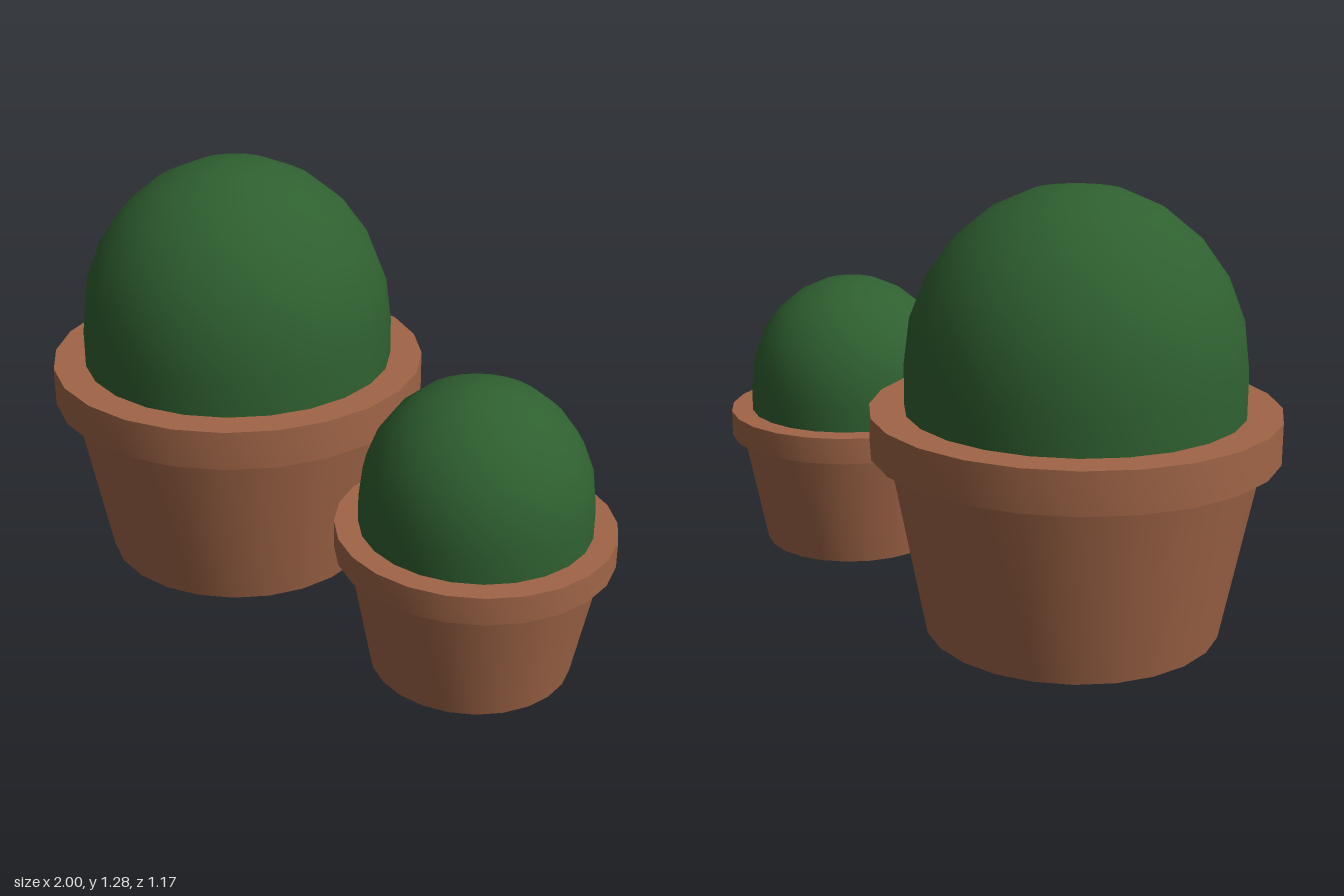
import * as THREE from 'three';
import { toCreasedNormals } from 'three/addons/utils/BufferGeometryUtils.js';

const SIDES = 24;
const clay = new THREE.MeshStandardMaterial({ color: 0xa06547, side: THREE.DoubleSide });
const green = new THREE.MeshStandardMaterial({ color: 0x2f6030 });

const lathe = (points) =>
  new THREE.LatheGeometry(points.map(([r, y]) => new THREE.Vector2(r, y)), SIDES);

// Tapered pot with a thick collar and an inner wall, open underneath
function potGeometry() {
  return toCreasedNormals(lathe([
    [0.43, 0], [0.533, 0.533], [0.585, 0.533], [0.585, 0.653],
    [0.445, 0.653], [0.32, 0.01],
  ]), 0.6);
}

// Short cylinder topped by a slightly tall half ball
function cactusGeometry() {
  const radius = 0.485, centre = 0.77, height = 0.515;
  const profile = [[0, 0.6], [radius, 0.6]];
  for (let i = 0; i <= 6; i++) {
    const a = (i / 6) * Math.PI / 2;
    profile.push([i === 6 ? 0 : radius * Math.cos(a), centre + height * Math.sin(a)]);
  }
  return toCreasedNormals(lathe(profile), 0.6);
}

export function createModel() {
  const model = new THREE.Group();
  const potShape = potGeometry();
  const cactusShape = cactusGeometry();

  // Same plant twice: a large one and a smaller copy
  for (const [name, x, scale] of [['largePlant', -0.415, 1], ['smallPlant', 0.6, 0.684]]) {
    const plant = new THREE.Group();
    plant.name = name;
    const pot = new THREE.Mesh(potShape, clay);
    pot.name = 'pot';
    const cactus = new THREE.Mesh(cactusShape, green);
    cactus.name = 'cactus';
    plant.add(pot, cactus);
    plant.position.x = x;
    plant.scale.setScalar(scale);
    model.add(plant);
  }
  return model;
}
